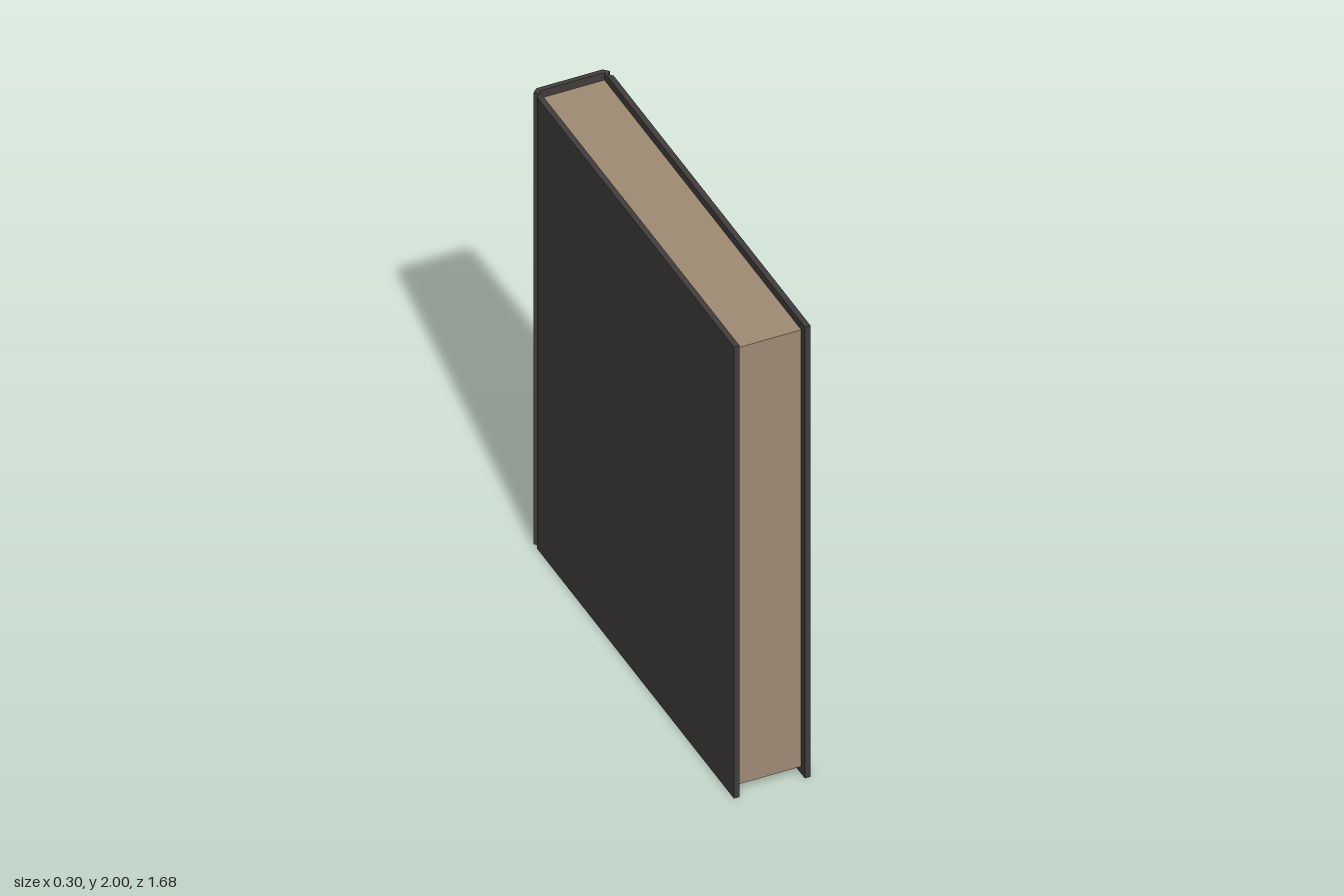
import * as THREE from 'three';

export function createModel() {
  const group = new THREE.Group();
  const coverMat = new THREE.MeshStandardMaterial({ color: 0x433d3d });
  coverMat.name = 'dark cover';
  const pageMat = new THREE.MeshStandardMaterial({ color: 0xa08b75 });
  pageMat.name = 'tan paper';

  // Half of the cover outline (x, z): fore edge, board, hinge groove, spine corner
  const outer = [[0.15, 0.84], [0.15, -0.79], [0.136, -0.805], [0.15, -0.82], [0.13, -0.84]];
  const inner = [[0.128, -0.82], [0.128, 0.84]];
  const mirror = (points) => points.map(([x, z]) => [-x, z]).reverse();
  const outline = [...outer, ...mirror(outer), ...mirror(inner), ...inner];
  const shape = new THREE.Shape(outline.map(([x, z]) => new THREE.Vector2(x, z)));

  // Cover: two boards and the spine in one folded sheet, full height
  const coverGeo = new THREE.ExtrudeGeometry(shape, { depth: 2, bevelEnabled: false });
  coverGeo.rotateX(Math.PI / 2).translate(0, 2, 0);
  const cover = new THREE.Mesh(coverGeo, coverMat);
  cover.name = 'cover';
  group.add(cover);

  // Page block, set in from the cover at top, bottom and fore edge
  const pages = new THREE.Mesh(new THREE.BoxGeometry(0.256, 1.935, 1.63), pageMat);
  pages.position.set(0, 1.0, -0.005);
  pages.name = 'pages';
  group.add(pages);

  return group;
}
